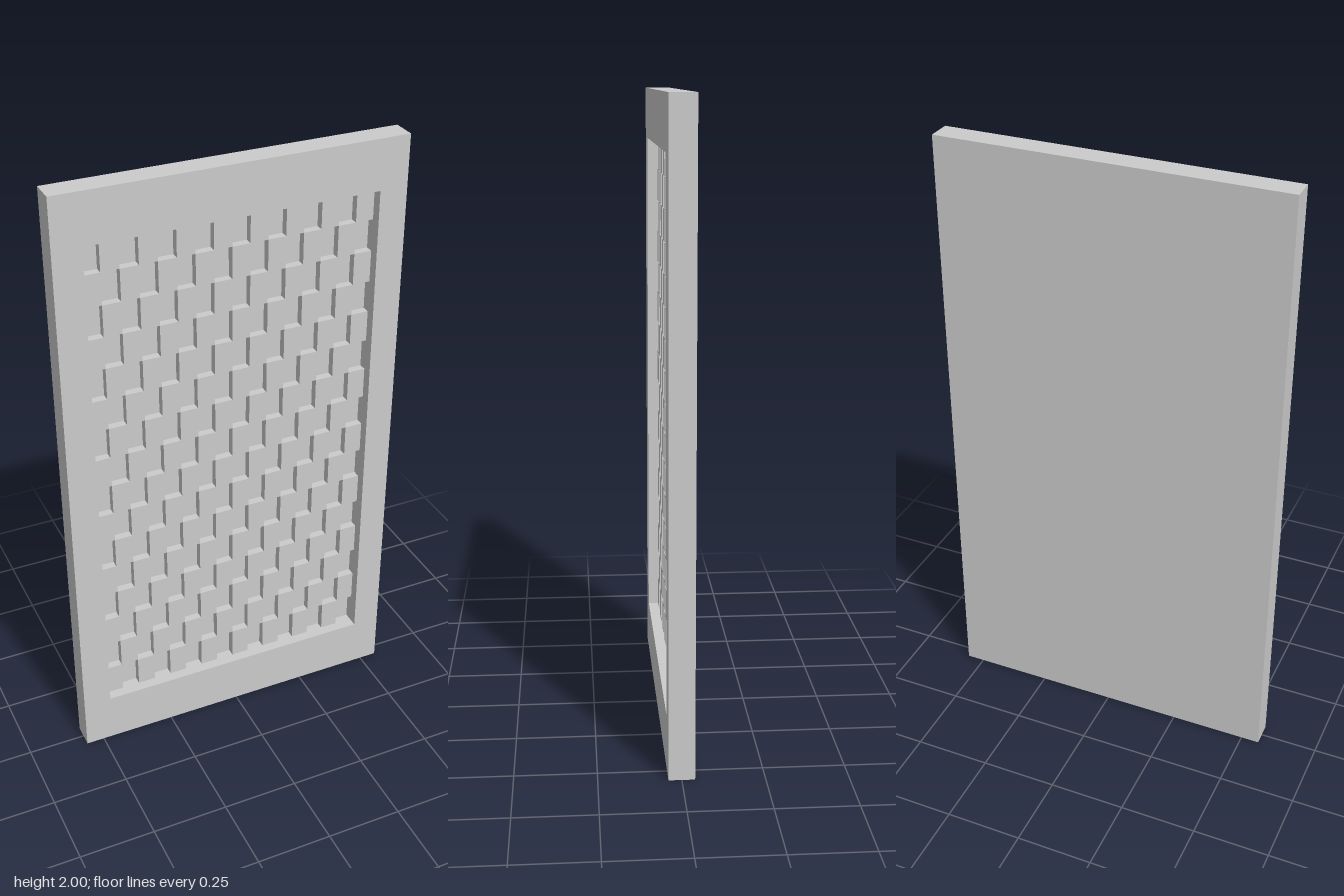
import * as THREE from 'three';
import { mergeGeometries } from 'three/addons/utils/BufferGeometryUtils.js';

const WIDTH = 1.12, HEIGHT = 2, DEPTH = 0.08;
const FIELD_W = 0.936, FIELD_BOTTOM = 0.17, FIELD_TOP = 1.836;
const FLOOR_Z = -0.02, BLOCK_Z = 0.006;
const COLS = 16, ROWS = 16;

function rectangle(target, x0, y0, x1, y1) {
  target.moveTo(x0, y0);
  target.lineTo(x1, y0);
  target.lineTo(x1, y1);
  target.lineTo(x0, y1);
  target.closePath();
  return target;
}

export function createModel() {
  const model = new THREE.Group();
  model.name = 'checkeredPanel';
  const material = new THREE.MeshStandardMaterial({ color: 0xcccccc, flatShading: true });

  const add = (name, geometry) => {
    const mesh = new THREE.Mesh(geometry, material);
    mesh.name = name;
    model.add(mesh);
    return mesh;
  };

  // Border frame around the recessed field
  const outline = rectangle(new THREE.Shape(), -WIDTH / 2, 0, WIDTH / 2, HEIGHT);
  outline.holes.push(rectangle(new THREE.Path(), -FIELD_W / 2, FIELD_BOTTOM, FIELD_W / 2, FIELD_TOP));
  const frame = new THREE.ExtrudeGeometry(outline, { depth: DEPTH / 2 - FLOOR_Z, bevelEnabled: false });
  frame.translate(0, 0, FLOOR_Z);
  add('frame', frame);

  // Solid back panel, its front is the floor of the recess
  const backDepth = FLOOR_Z + DEPTH / 2;
  const back = new THREE.BoxGeometry(WIDTH, HEIGHT, backDepth);
  back.translate(0, HEIGHT / 2, -DEPTH / 2 + backDepth / 2);
  add('backPanel', back);

  // Raised blocks on alternate cells; row 0 is the top row
  const cellW = FIELD_W / COLS;
  const cellH = (FIELD_TOP - FIELD_BOTTOM) / ROWS;
  const blocks = [];
  for (let row = 0; row < ROWS; row++) {
    for (let col = 0; col < COLS; col++) {
      if ((row + col) % 2 === 0) continue;
      const block = new THREE.BoxGeometry(cellW, cellH, BLOCK_Z - FLOOR_Z);
      block.translate(
        -FIELD_W / 2 + (col + 0.5) * cellW,
        FIELD_TOP - (row + 0.5) * cellH,
        (BLOCK_Z + FLOOR_Z) / 2
      );
      blocks.push(block);
    }
  }
  add('raisedBlocks', mergeGeometries(blocks));

  return model;
}
